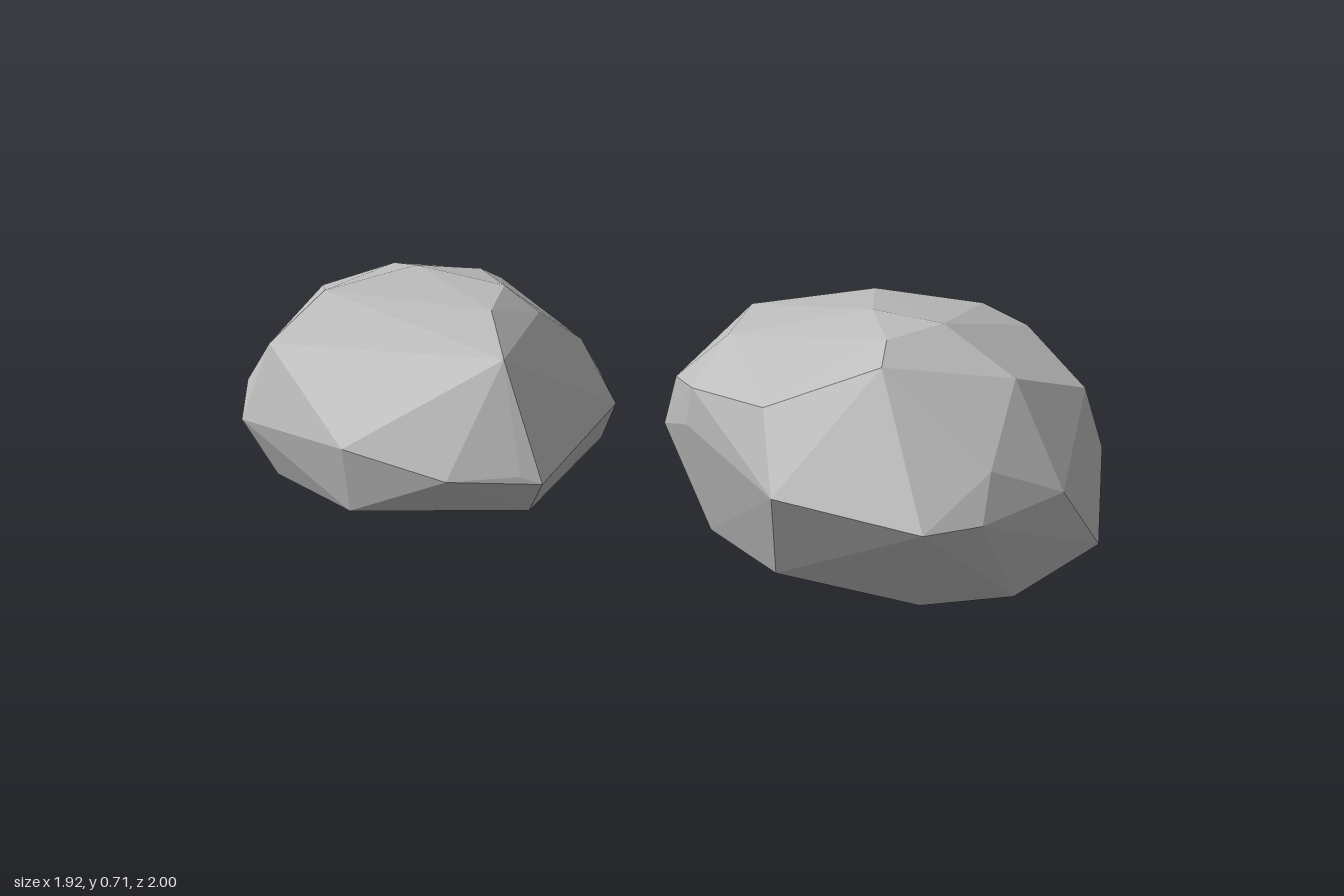
import * as THREE from 'three';
import { ConvexGeometry } from 'three/addons/geometries/ConvexGeometry.js';

const stone = new THREE.MeshStandardMaterial({ color: 0xbcbcbc, flatShading: true });
stone.name = 'grey stone';

// A faceted stone: the hull around a handful of corner points
function facetedStone(name, corners) {
  const mesh = new THREE.Mesh(
    new ConvexGeometry(corners.map((c) => new THREE.Vector3(...c))), stone);
  mesh.name = name;
  return mesh;
}

export function createModel() {
  const model = new THREE.Group();
  model.name = 'rocks';

  // Front rock: tall rounded boulder
  model.add(facetedStone('frontRock', [
    // crown
    [0.33, 0.71, 0.52], [0.44, 0.70, 0.66], [0.27, 0.69, 0.7], [0.06, 0.62, 0.3],
    [0.22, 0.63, 0.1], [0.5, 0.67, 0.22], [0.75, 0.63, 0.32], [0.82, 0.59, 0.42],
    [0.7, 0.55, 0.04],
    // shoulder
    [0.22, 0.65, 0.77], [0.54, 0.6, 0.82], [0.0, 0.54, 0.62], [0.4, 0.44, 0.96],
    [0.81, 0.51, 0.7], [0.9, 0.5, 0.44], [-0.03, 0.5, 0.2], [-0.06, 0.52, 0.36],
    // widest girth
    [0.22, 0.38, -0.06], [0.56, 0.34, -0.1], [0.79, 0.42, -0.02], [0.96, 0.33, 0.27],
    [0.94, 0.33, 0.48], [0.84, 0.37, 0.74], [0.6, 0.36, 0.95], [0.36, 0.33, 1.0],
    [0.22, 0.32, 0.98], [-0.03, 0.36, 0.73], [-0.06, 0.42, 0.33], [-0.03, 0.36, 0.13],
    // low corners
    [0.91, 0.18, 0.14], [0.73, 0.2, 0.91],
    // underside
    [0.45, 0, 0.55], [0.36, 0.01, 0.6], [0.02, 0.13, 0.3], [0.04, 0.13, 0.62],
    [0.66, 0.04, 0.42], [0.84, 0.13, 0.42], [0.5, 0.06, 0.15], [0.27, 0.08, 0.15],
    [0.3, 0.09, 0.84], [0.5, 0.11, 0.92], [0.4, 0.15, -0.03], [0.7, 0.15, 0.03],
    [0.72, 0.13, 0.76],
  ]));

  // Back rock: flatter, with a sharp prow at the front
  model.add(facetedStone('backRock', [
    // crown
    [-0.44, 0.64, -0.56], [-0.71, 0.62, -0.48], [-0.66, 0.58, -0.68], [-0.26, 0.61, -0.38],
    [-0.22, 0.58, -0.68], [-0.45, 0.61, -0.72], [-0.36, 0.6, -0.2],
    // shoulder
    [-0.4, 0.53, 0.0], [-0.18, 0.54, -0.34], [-0.1, 0.5, -0.85], [-0.6, 0.43, -0.87],
    [-0.88, 0.52, -0.4], [-0.02, 0.42, -0.45], [0.0, 0.4, -0.77],
    // widest girth
    [-0.22, 0.31, -1.0], [-0.1, 0.32, -0.96], [0.09, 0.28, -0.6], [0.05, 0.25, -0.38],
    [-0.35, 0.24, 0.12], [-0.4, 0.26, 0.1], [-0.57, 0.25, 0.04], [-0.78, 0.31, -0.13],
    [-0.96, 0.33, -0.4], [-0.93, 0.42, -0.44], [-0.92, 0.28, -0.56], [-0.6, 0.3, -0.9],
    [-0.43, 0.32, -0.96],
    // underside
    [-0.2, 0.03, -0.58], [-0.01, 0.08, -0.55], [-0.28, 0.07, -0.28], [-0.7, 0.07, -0.35],
    [-0.88, 0.18, -0.38], [-0.76, 0.14, -0.15], [-0.36, 0.15, 0.05], [0.02, 0.15, -0.41],
    [-0.22, 0.16, -0.95], [-0.5, 0.05, -0.7], [0.03, 0.14, -0.72], [-0.72, 0.14, -0.7],
  ]));

  return model;
}
